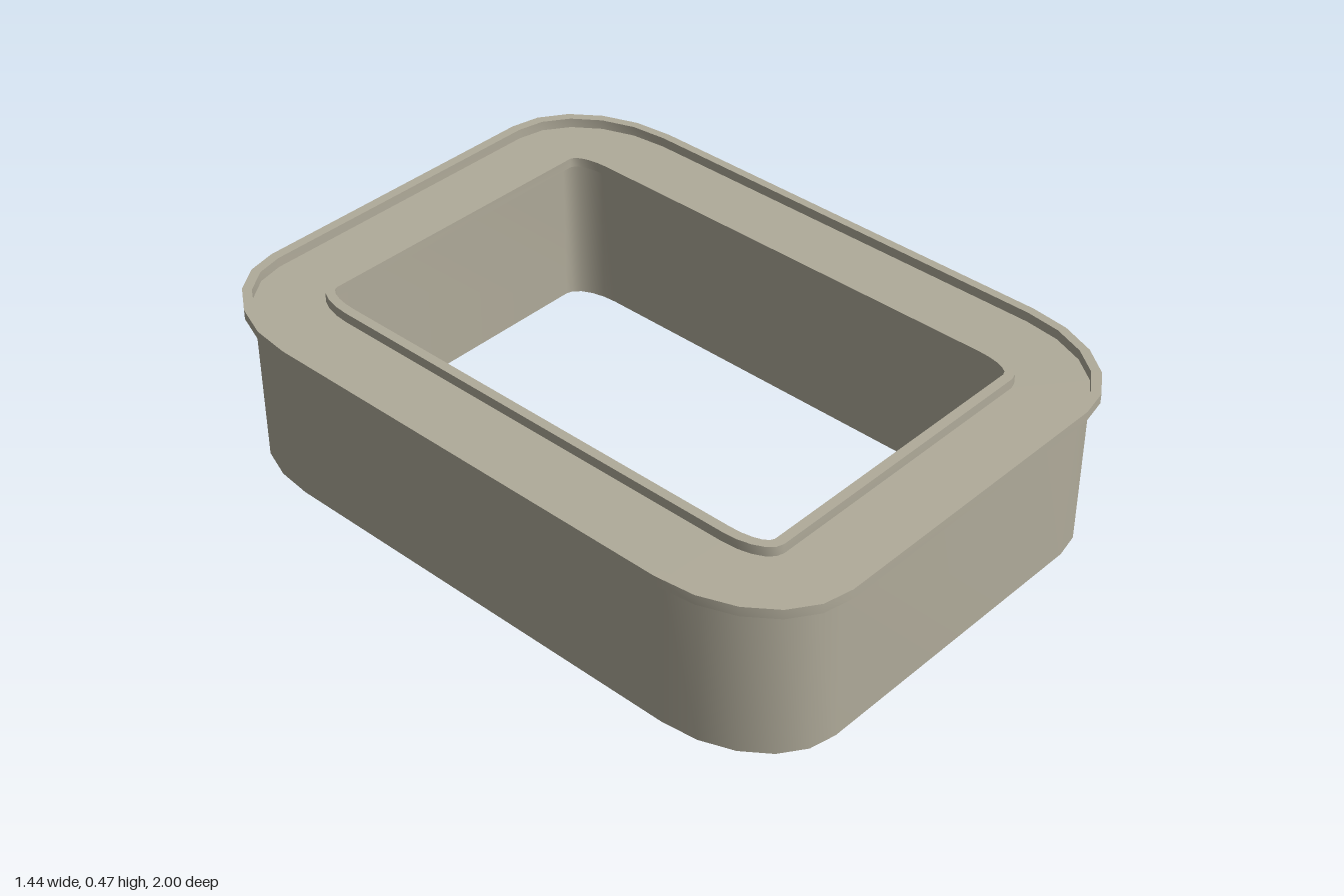
import * as THREE from 'three';
import { toCreasedNormals } from 'three/addons/utils/BufferGeometryUtils.js';

// Rounded rectangle with elliptical corners centred on (cx, cz)
function outline(halfX, halfZ, cx, cz, segments = 5) {
  const points = [];
  const rx = halfX - cx, rz = halfZ - cz;
  const corners = [[1, 1], [-1, 1], [-1, -1], [1, -1]];
  corners.forEach(([sx, sz], q) => {
    for (let i = 0; i <= segments; i++) {
      const a = (q + i / segments) * Math.PI / 2;
      points.push(new THREE.Vector2(sx * cx + rx * Math.cos(a), sz * cz + rz * Math.sin(a)));
    }
  });
  return points;
}

// Upright ring between two outlines
function ring(name, outer, inner, bottom, top, material) {
  const shape = new THREE.Shape(outer);
  shape.holes.push(new THREE.Path(inner));
  const extruded = new THREE.ExtrudeGeometry(shape, { depth: top - bottom, bevelEnabled: false });
  extruded.rotateX(-Math.PI / 2);
  extruded.translate(0, bottom, 0);
  const mesh = new THREE.Mesh(toCreasedNormals(extruded, 0.7), material);
  mesh.name = name;
  return mesh;
}

export function createModel() {
  const group = new THREE.Group();
  group.name = 'rectangularRing';
  const stone = new THREE.MeshStandardMaterial({ color: 0xb0ab9a });
  stone.name = 'warm grey';

  const rimOuter = outline(0.72, 1.0, 0.45, 0.64);
  const bodyOuter = outline(0.695, 0.972, 0.45, 0.64);
  const bodyInner = outline(0.5, 0.783, 0.435, 0.65);
  const rimInner = outline(0.473, 0.755, 0.435, 0.65);

  // Thick body with a flat top, and lips overhanging outside and inside
  group.add(ring('body', bodyOuter, bodyInner, 0, 0.442, stone));
  group.add(ring('outerLip', rimOuter, bodyOuter, 0.442, 0.47, stone));
  group.add(ring('innerLip', bodyInner, rimInner, 0.442, 0.47, stone));
  return group;
}
